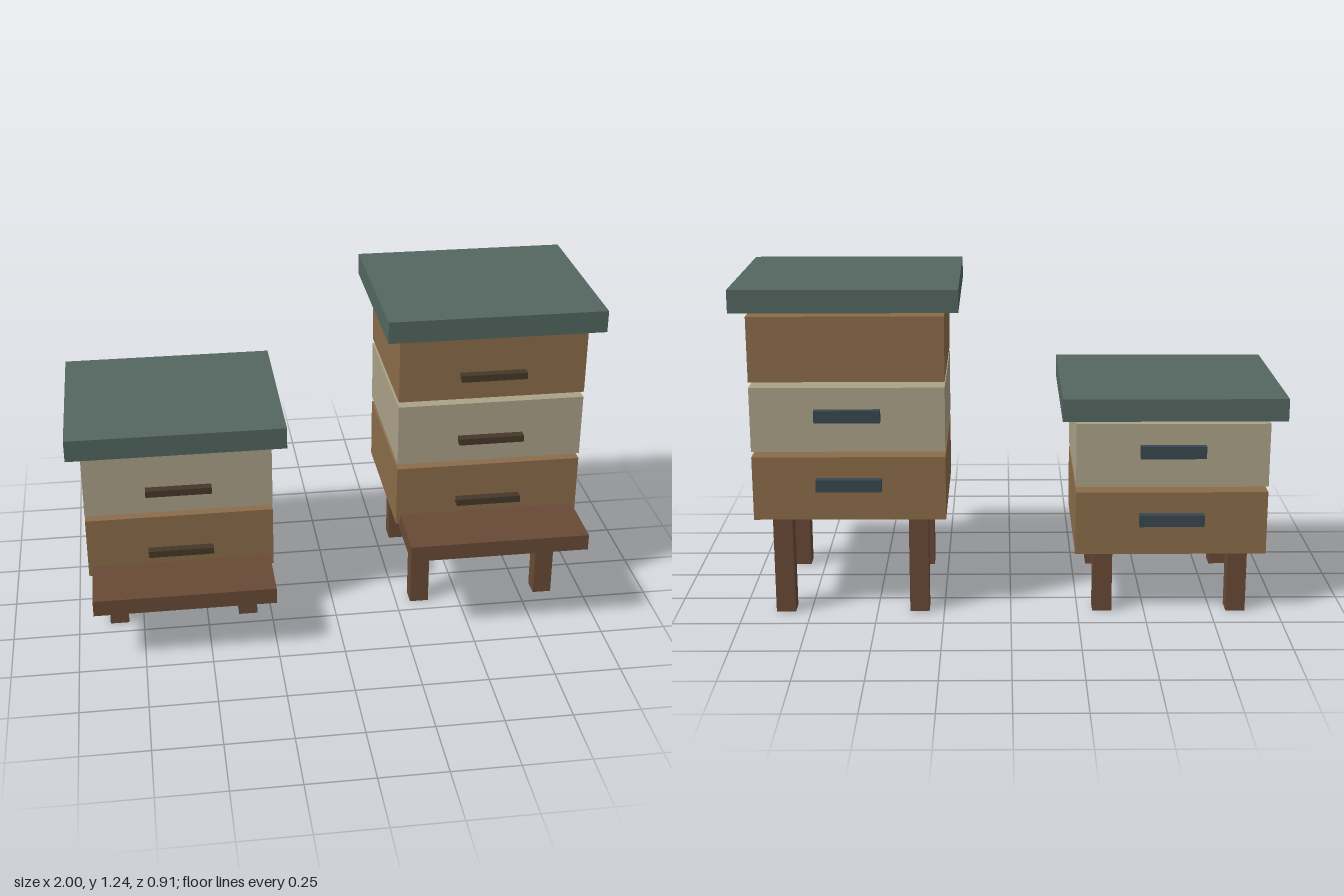
import * as THREE from 'three';

const mat = (name, color) => {
  const m = new THREE.MeshStandardMaterial({ color });
  m.name = name;
  return m;
};

export function createModel() {
  const honey = mat('honey wood', 0x8b6c4a);
  const cream = mat('cream paint', 0xaba288);
  const dark = mat('dark wood', 0x684a35);
  const green = mat('green roof paint', 0x53675f);
  const slot = mat('entrance brown', 0x45382a);
  const steel = mat('grip slate', 0x384850);

  // Box placed by its bottom centre
  const box = (parent, name, material, w, h, d, x, y, z) => {
    const mesh = new THREE.Mesh(new THREE.BoxGeometry(w, h, d), material);
    mesh.position.set(x, y + h / 2, z);
    mesh.name = name;
    parent.add(mesh);
  };

  const bodyH = 0.24, pitch = 0.261, bodyW = 0.708, bodyD = 0.607, zc = -0.097;
  const front = zc + bodyD / 2, back = zc - bodyD / 2;

  const makeHive = (name, x, base, count) => {
    const hive = new THREE.Group();
    hive.name = name;
    hive.position.x = x;

    // Four square legs
    for (const sx of [-1, 1])
      for (const sz of [-1, 1])
        box(hive, 'leg', dark, 0.072, base, 0.072, sx * 0.251, 0, zc + sz * 0.251);

    // Landing board at the front
    box(hive, 'landingBoard', dark, 0.68, 0.062, 0.26, 0, base - 0.021, 0.325);

    // Stacked boxes with a front strip; the lower two also have a back grip
    for (let i = 0; i < count; i++) {
      const y = base + i * pitch;
      box(hive, 'hiveBox', i % 2 ? cream : honey, bodyW, bodyH, bodyD, 0, y, zc);
      box(hive, 'frontStrip', slot, 0.248, 0.026, 0.034, 0, y + 0.082, front + 0.016);
      if (i < 2) box(hive, 'backGrip', steel, 0.24, 0.046, 0.028, 0, y + 0.114, back - 0.013);
    }

    // Overhanging flat roof
    box(hive, 'roof', green, 0.814, 0.083, 0.713, 0, base + count * pitch + 0.002, zc);
    return hive;
  };

  const model = new THREE.Group();
  model.name = 'beehives';
  model.add(makeHive('shortHive', -0.593, 0.233, 2), makeHive('tallHive', 0.593, 0.37, 3));
  return model;
}
